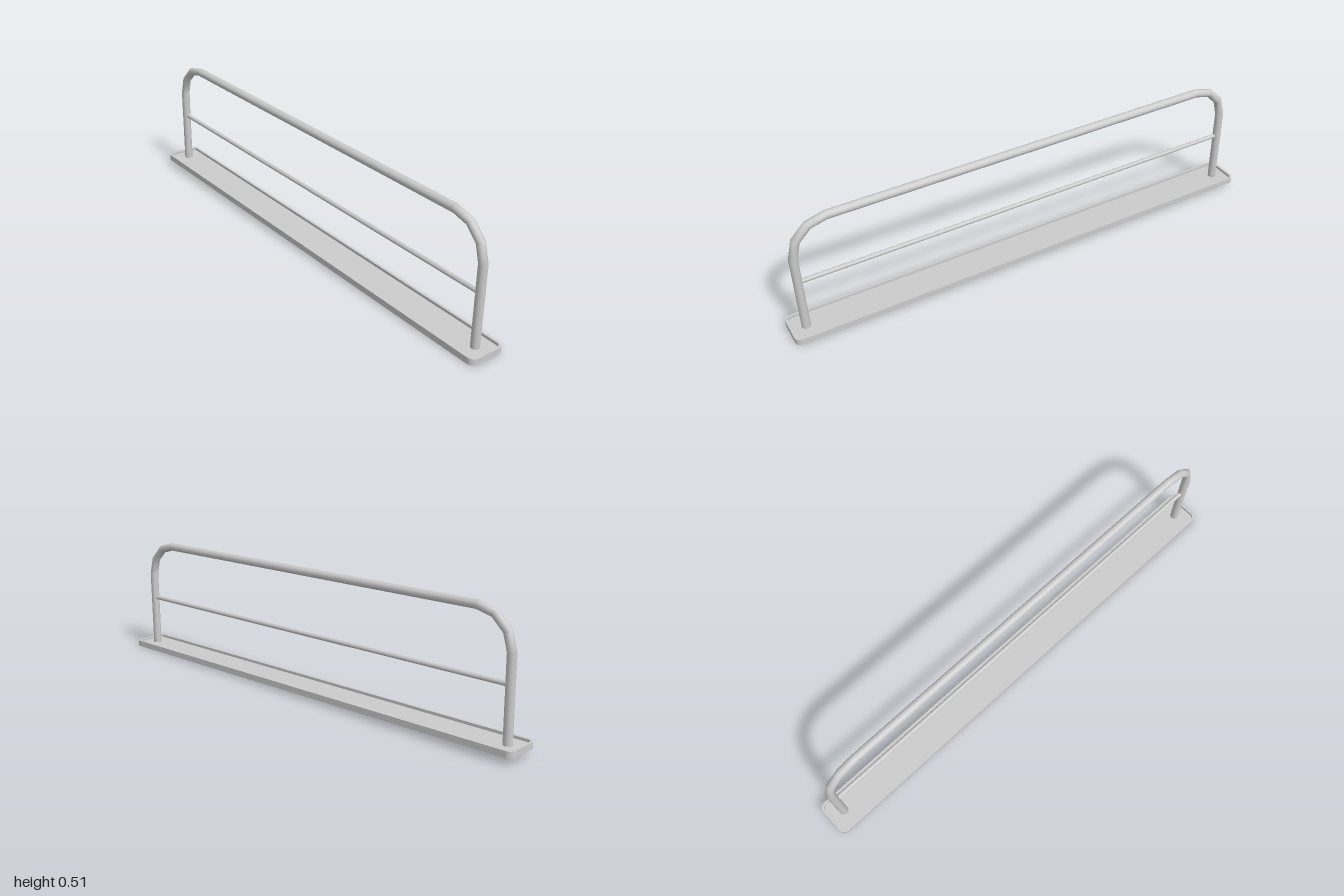
import * as THREE from 'three';

const material = new THREE.MeshStandardMaterial({ color: 0xcccccc, side: THREE.DoubleSide });

function addMesh(parent, name, geometry) {
  const mesh = new THREE.Mesh(geometry, material);
  mesh.name = name;
  parent.add(mesh);
  return mesh;
}

// Rectangle with rounded corners, centred on the origin
function roundedRect(target, halfX, halfZ, r) {
  target.absarc(halfX - r, halfZ - r, r, 0, Math.PI / 2);
  target.absarc(-halfX + r, halfZ - r, r, Math.PI / 2, Math.PI);
  target.absarc(-halfX + r, -halfZ + r, r, Math.PI, Math.PI * 1.5);
  target.absarc(halfX - r, -halfZ + r, r, Math.PI * 1.5, Math.PI * 2);
  target.closePath();
  return target;
}

// Flat slab lying in the ground plane from y0 up to y0 + height
function slab(shape, y0, height) {
  const geometry = new THREE.ExtrudeGeometry(shape, { depth: height, bevelEnabled: false, curveSegments: 4 });
  return geometry.rotateX(-Math.PI / 2).translate(0, y0, 0);
}

// Arch with straight legs and quarter bends made of a few segments
class HoopCurve extends THREE.Curve {
  constructor(halfWidth, bottom, top, radius, steps) {
    super();
    this.points = [new THREE.Vector3(-halfWidth, bottom, 0)];
    this.tangents = [new THREE.Vector3(0, 1, 0)];
    for (const side of [-1, 1]) {
      for (let i = 0; i <= steps; i++) {
        const a = (side < 0 ? Math.PI : Math.PI / 2) - (i / steps) * Math.PI / 2;
        this.points.push(new THREE.Vector3(
          side * (halfWidth - radius) + Math.cos(a) * radius, top - radius + Math.sin(a) * radius, 0));
        this.tangents.push(new THREE.Vector3(Math.sin(a), -Math.cos(a), 0));
      }
    }
    this.points.push(new THREE.Vector3(halfWidth, bottom, 0));
    this.tangents.push(new THREE.Vector3(0, -1, 0));
  }
  pick(list, t, target = new THREE.Vector3()) {
    return target.copy(list[Math.round(t * (list.length - 1))]);
  }
  getPoint(t, target) { return this.pick(this.points, t, target); }
  getPointAt(t, target) { return this.pick(this.points, t, target); }
  getTangentAt(t, target) { return this.pick(this.tangents, t, target); }
}

export function createModel() {
  const model = new THREE.Group();
  model.name = 'guardRail';

  // The whole rail leans slightly, its left end being the lower one
  const rail = new THREE.Group();
  rail.name = 'rail';
  rail.position.y = 0.0125;
  rail.rotation.set(0, -0.0037, -0.0125);
  model.add(rail);

  // Base tray: a rim standing above and below a thin floor
  const rim = roundedRect(new THREE.Shape(), 1, 0.074, 0.024);
  rim.holes.push(roundedRect(new THREE.Path(), 0.991, 0.065, 0.016));
  addMesh(rail, 'baseRim', slab(rim, 0, 0.025));
  addMesh(rail, 'baseFloor', slab(roundedRect(new THREE.Shape(), 0.993, 0.067, 0.018), 0.011, 0.003));

  // Bent tube, open at the feet that pass through the floor
  const hoop = new HoopCurve(0.938, 0.006, 0.473, 0.14, 3);
  addMesh(rail, 'hoopTube', new THREE.TubeGeometry(hoop, hoop.points.length - 1, 0.017, 12, false));

  // Thin bar between the legs
  const bar = new THREE.CylinderGeometry(0.009, 0.009, 1.87, 10, 1, true).rotateZ(Math.PI / 2);
  addMesh(rail, 'middleBar', bar).position.y = 0.225;

  return model;
}
